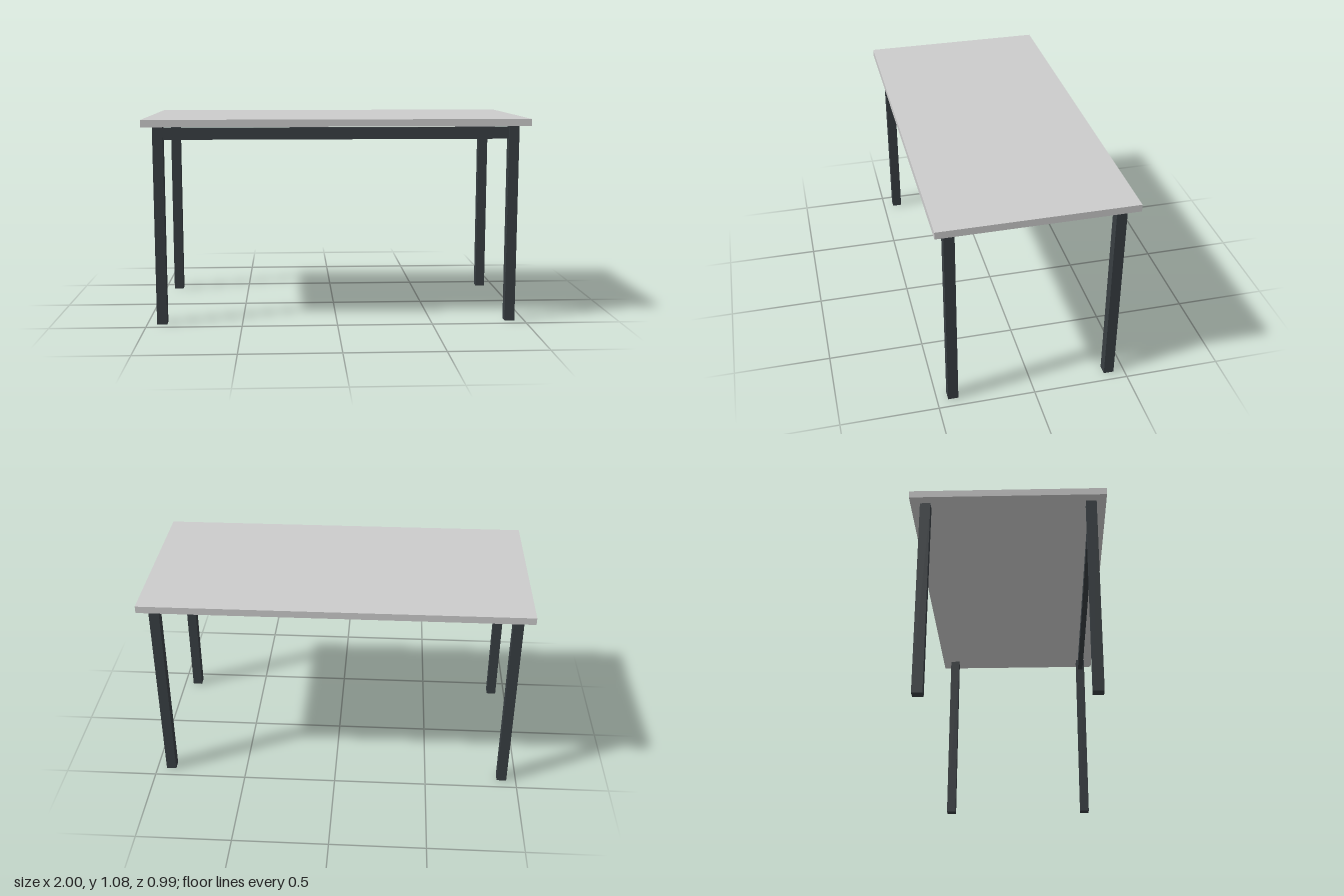
import * as THREE from 'three';

export function createModel() {
  const model = new THREE.Group();
  model.name = 'table';

  const grey = new THREE.MeshStandardMaterial({ color: 0xcccccc });
  const dark = new THREE.MeshStandardMaterial({ color: 0x383e42 });

  const height = 1.077, topThickness = 0.037, depth = 0.985;
  const legSize = 0.053, legX = 0.922, legZ = 0.417;
  const legHeight = height - topThickness;

  function addBox(name, material, size, position) {
    const mesh = new THREE.Mesh(new THREE.BoxGeometry(...size), material);
    mesh.name = name;
    mesh.position.set(...position);
    model.add(mesh);
  }

  // Table top
  addBox('tableTop', grey, [2, topThickness, depth], [0, height - topThickness / 2, 0]);

  // Four square legs
  for (const [sideX, nameX] of [[1, 'Left'], [-1, 'Right']]) {
    for (const [sideZ, nameZ] of [[1, 'front'], [-1, 'back']]) {
      addBox(`${nameZ}${nameX}Leg`, dark, [legSize, legHeight, legSize],
        [sideX * legX, legHeight / 2, sideZ * legZ]);
    }
  }

  // Single rail between the front legs, just below the top
  addBox('frontRail', dark, [2 * legX - legSize, 0.061, 0.03], [0, 1.0015, legZ]);

  return model;
}
